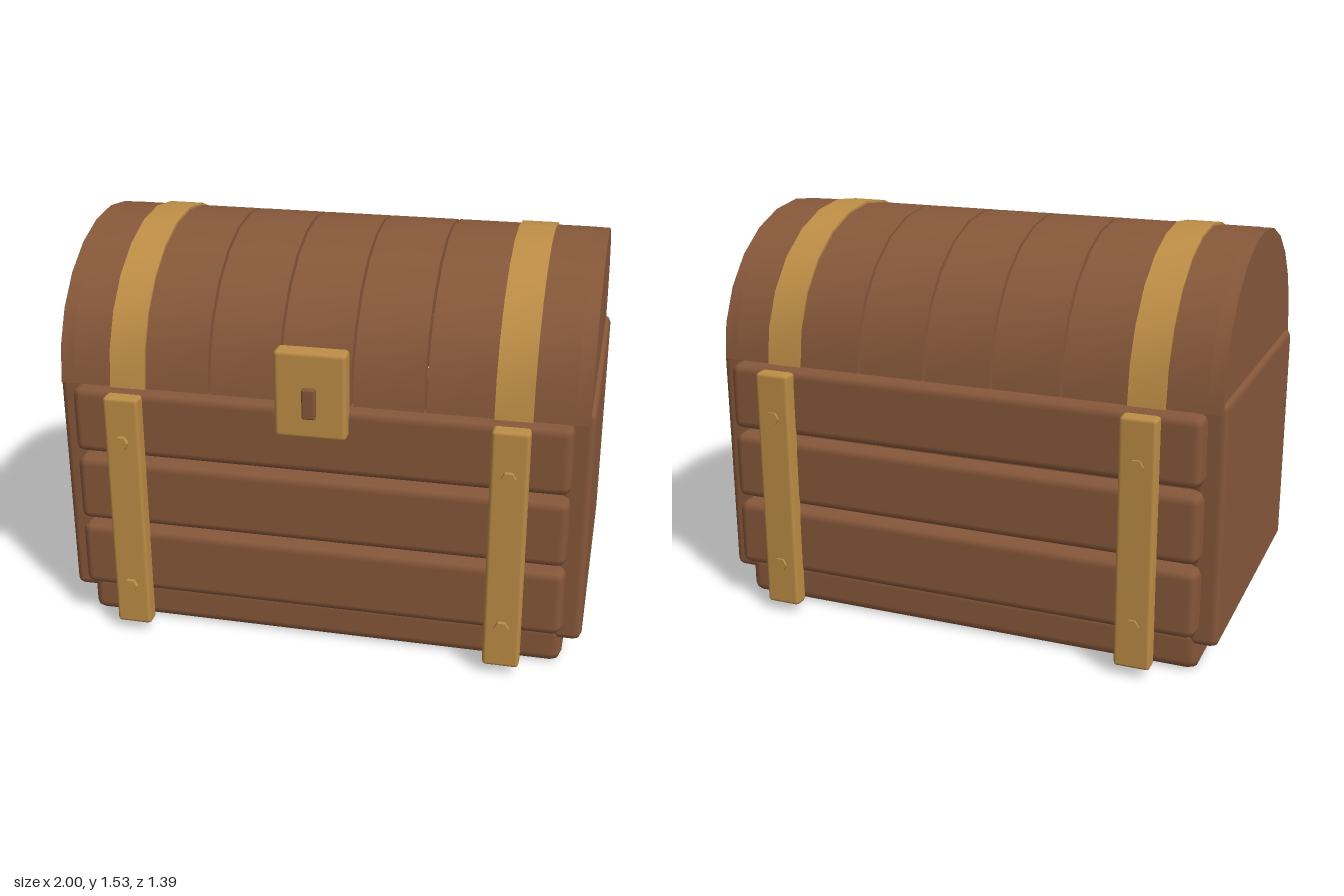
import * as THREE from 'three';
import { toCreasedNormals } from 'three/addons/utils/BufferGeometryUtils.js';
import { RoundedBoxGeometry } from 'three/addons/geometries/RoundedBoxGeometry.js';

const LID_Y = 0.985, LID_RY = 0.537, LID_RZ = 0.583, ARC_STEPS = 12;

export function createModel() {
  const chest = new THREE.Group();
  chest.name = 'treasureChest';
  const wood = new THREE.MeshStandardMaterial({ color: 0x87583a });
  wood.name = 'brownWood';
  const brass = new THREE.MeshStandardMaterial({ color: 0xbe8e46 });
  brass.name = 'brass';

  const add = (name, geometry, material) => {
    const mesh = new THREE.Mesh(geometry, material);
    mesh.name = name;
    chest.add(mesh);
    return mesh;
  };

  // Bevelled box given by its extents on each axis
  const box = (name, material, [x0, x1], [y0, y1], [z0, z1], bevel) => {
    const mesh = add(name, new RoundedBoxGeometry(x1 - x0, y1 - y0, z1 - z0, 1, bevel), material);
    mesh.position.set((x0 + x1) / 2, (y0 + y1) / 2, (z0 + z1) / 2);
  };

  // Half ellipse offset outwards from the lid curve
  const arc = (offset) => Array.from({ length: ARC_STEPS + 1 }, (_, i) => {
    const a = (i / ARC_STEPS) * Math.PI;
    return new THREE.Vector2(Math.cos(a) * (LID_RZ + offset), Math.sin(a) * (LID_RY + offset));
  });

  // Vaulted piece running from x0 to x1; solid, or a shell when inner is given
  const vault = (name, material, x0, x1, outer, inner) => {
    const points = arc(outer);
    if (inner !== undefined) points.push(...arc(inner).reverse());
    const geometry = new THREE.ExtrudeGeometry(new THREE.Shape(points), {
      depth: x1 - x0, bevelEnabled: false, steps: 1,
    });
    geometry.rotateY(Math.PI / 2);
    add(name, toCreasedNormals(geometry, 0.6), material).position.set(x0, LID_Y, 0);
  };

  // Base and end panels
  box('base', wood, [-0.93, 0.93], [0, 0.16], [-0.572, 0.56], 0.04);
  box('leftPanel', wood, [0.885, 1], [0.105, 1.025], [-0.572, 0.56], 0.03);
  box('rightPanel', wood, [-1, -0.885], [0.105, 1.025], [-0.572, 0.56], 0.03);

  // Three planks at the front and back, with open gaps between them
  for (let i = 0; i < 3; i++) {
    const y = [0.155 + i * 0.283, 0.42 + i * 0.283];
    box('frontPlank', wood, [-0.93, 0.93], y, [0.52, 0.627], 0.035);
    box('backPlank', wood, [-0.93, 0.93], y, [-0.64, -0.535], 0.035);
  }

  // Lid slats and solid lid ends
  const pitch = 1.867 / 7;
  for (let i = -3; i <= 3; i++) {
    vault('lidSlat', wood, (i - 0.5) * pitch + 0.005, (i + 0.5) * pitch - 0.005, 0, -0.05);
  }
  vault('lidLeftEnd', wood, 0.925, 0.98, -0.001);
  vault('lidRightEnd', wood, -0.98, -0.925, -0.001);

  // Brass bands, upright straps and hexagonal studs
  for (const side of [-1, 1]) {
    const x = side * 0.715, span = [x - 0.068, x + 0.068];
    vault('lidBand', brass, span[0], span[1], 0.009, -0.02);
    box('frontStrap', brass, span, [0.035, 0.978], [0.612, 0.678], 0.014);
    box('backStrap', brass, span, [0.035, 0.978], [-0.69, -0.624], 0.014);
    for (const y of [0.205, 0.805]) {
      for (const z of [0.677, -0.68]) {
        const stud = new THREE.CylinderGeometry(0.027, 0.027, 0.036, 6);
        stud.rotateY(Math.PI / 6).rotateX(Math.PI / 2);
        add('stud', toCreasedNormals(stud, 0.4), brass).position.set(x, y, z);
      }
    }
  }

  // Lock plate with raised keyhole
  box('lockPlate', brass, [-0.132, 0.132], [0.882, 1.21], [0.592, 0.672], 0.016);
  box('keyhole', wood, [-0.025, 0.025], [0.965, 1.08], [0.65, 0.695], 0.008);

  return chest;
}
